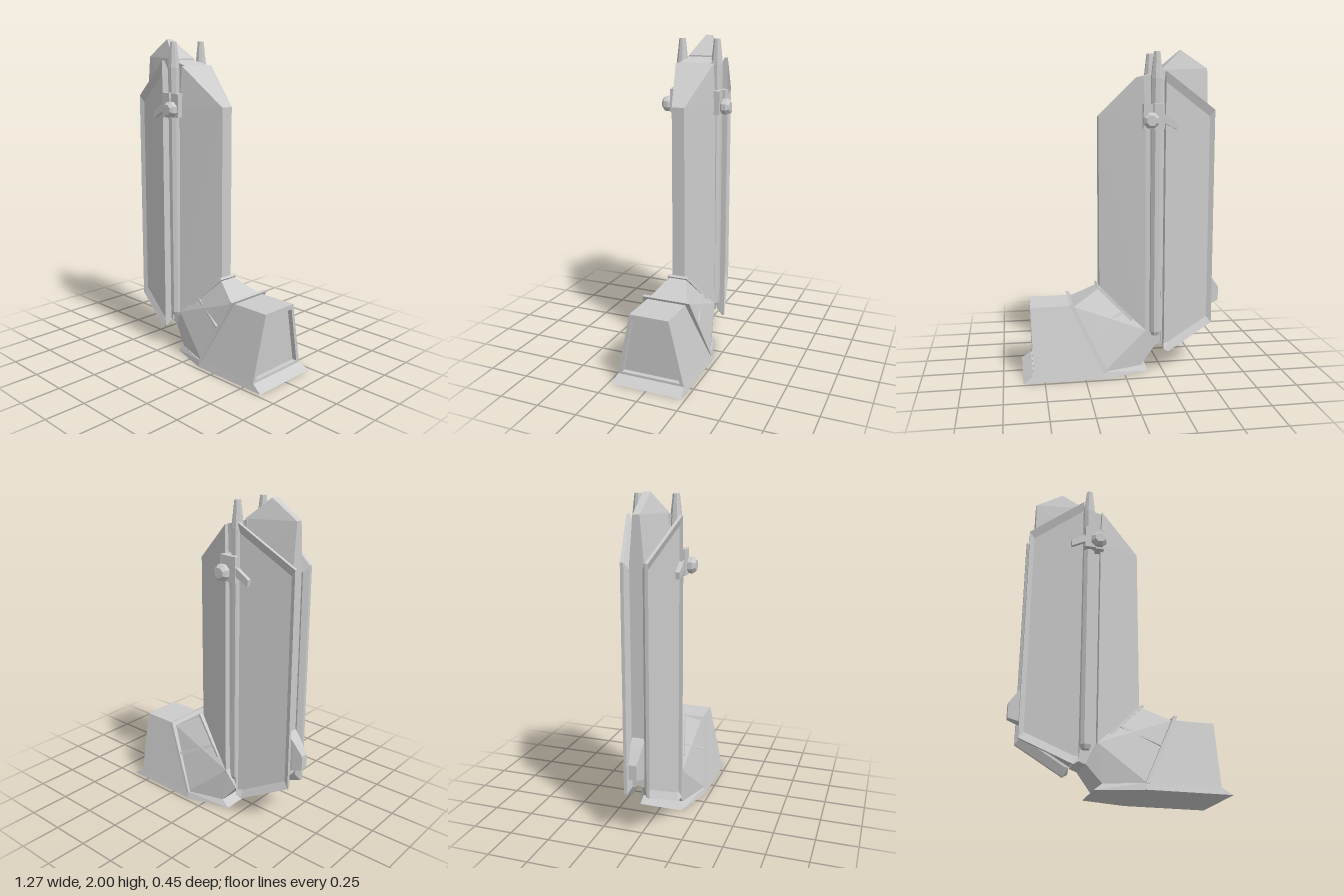
import * as THREE from 'three';
import { ConvexGeometry } from 'three/addons/geometries/ConvexGeometry.js';

const material = new THREE.MeshStandardMaterial({ color: 0xcccccc, flatShading: true });

export function createModel() {
  const model = new THREE.Group();

  function add(name, geometry, x = 0, y = 0, z = 0) {
    const mesh = new THREE.Mesh(geometry, material);
    mesh.name = name;
    mesh.position.set(x, y, z);
    model.add(mesh);
    return mesh;
  }

  // Convex block symmetric in z, from points [x, y, halfWidth]
  function block(name, points) {
    const v = points.flatMap(([x, y, w]) =>
      [new THREE.Vector3(x, y, w), new THREE.Vector3(x, y, -w)]);
    return add(name, new ConvexGeometry(v));
  }

  // Skin through rings of [x, y, z] points, closed at both ends
  function loft(name, rings) {
    const pos = [];
    const tri = (a, b, c) => pos.push(...a, ...b, ...c);
    const n = rings[0].length;
    for (let r = 0; r < rings.length - 1; r++) {
      for (let i = 0; i < n; i++) {
        const j = (i + 1) % n, a = rings[r], b = rings[r + 1];
        tri(a[i], a[j], b[j]);
        tri(a[i], b[j], b[i]);
      }
    }
    const first = rings[0], last = rings[rings.length - 1];
    for (let i = 1; i < n - 1; i++) {
      tri(first[0], first[i + 1], first[i]);
      tri(last[0], last[i], last[i + 1]);
    }
    const g = new THREE.BufferGeometry();
    g.setAttribute('position', new THREE.Float32BufferAttribute(pos, 3));
    g.computeVertexNormals();
    return add(name, g);
  }

  const lathe = (pts) => new THREE.LatheGeometry(
    pts.map(([r, y]) => new THREE.Vector2(r, y)), 8, Math.PI / 8);

  // Upright body: front wedge, middle spine and rear fin
  block('frontWedge', [
    [-0.12, 1.84, 0.125], [0.14, 1.6, 0.04], [0.14, 0.48, 0.04],
    [-0.14, 0.25, 0.14], [-0.13, 1.6, 0.135],
  ]);
  block('middleSpine', [
    [-0.25, 1.875, 0.09], [-0.12, 1.84, 0.1],
    [-0.25, 0.17, 0.1], [-0.2, 0.15, 0.1], [-0.12, 0.15, 0.1],
  ]);
  block('rearFin', [
    [-0.54, 1.89, 0.02], [-0.37, 2.0, 0.022], [-0.235, 1.88, 0.085],
    [-0.54, 1.6, 0.045], [-0.24, 1.6, 0.115],
    [-0.54, 0.33, 0.045], [-0.24, 0.18, 0.115],
  ]);
  block('rearKnob', [
    [-0.53, 0.64, 0.042], [-0.58, 0.585, 0.036], [-0.64, 0.5, 0.024],
    [-0.64, 0.41, 0.024], [-0.58, 0.39, 0.036], [-0.53, 0.38, 0.042],
  ]);

  // Boot: sole, ankle, raised ribs
  block('sole', [
    [0.63, 0, 0.225], [0.12, 0, 0.225], [-0.16, 0, 0.14],
    [0.57, 0.04, 0.215], [0.12, 0.04, 0.215], [-0.11, 0.04, 0.135],
  ]);
  block('ankle', [
    [0.13, 0.04, 0.21], [0.31, 0.44, 0.13], [0.15, 0.53, 0.055],
    [-0.14, 0.27, 0.14], [-0.2, 0.15, 0.11], [-0.11, 0.04, 0.135],
  ]);
  block('toeRib', [
    [0.115, 0.04, 0.222], [0.135, 0.035, 0.222],
    [0.32, 0.465, 0.155], [0.34, 0.46, 0.155],
  ]);
  block('shinRib', [
    [-0.06, 0.34, 0.125], [-0.05, 0.328, 0.125],
    [0.15, 0.55, 0.065], [0.163, 0.54, 0.065],
  ]);
  block('ankleRib', [
    [0, 0.395, 0.11], [0, 0.38, 0.114], [0.235, 0.28, 0.178], [0.228, 0.265, 0.18],
  ]);

  // Toe with a recessed front panel
  const toeRing = (x0, y0, w0, x1, y1, w1) =>
    [[x0, y0, -w0], [x1, y1, -w1], [x1, y1, w1], [x0, y0, w0]];
  loft('toe', [
    toeRing(0.13, 0.04, 0.215, 0.325, 0.445, 0.125),
    toeRing(0.565, 0.04, 0.215, 0.578, 0.445, 0.125),
    toeRing(0.565, 0.055, 0.187, 0.577, 0.415, 0.112),
    toeRing(0.535, 0.055, 0.187, 0.547, 0.415, 0.112),
  ]);

  // Mirrored parts
  const rim = [[-0.58, 0.28], [-0.28, 0.13], [-0.25, 0.15], [-0.25, 1.87], [-0.58, 1.64]];
  const field = [[-0.55, 0.32], [-0.28, 0.185], [-0.25, 0.18], [-0.25, 1.81], [-0.55, 1.6]];
  for (const s of [1, -1]) {
    const side = s > 0 ? 'left' : 'right';

    // Rear side panel with a flared rim
    const ring = (outline, offset) => {
      const pts = outline.map(([x, y]) => [x, y, s * (0.06 + (x + 0.58) * 0.27 + offset)]);
      return s > 0 ? pts : pts.reverse();
    };
    loft(side + 'Panel', [ring(field, -0.03), ring(rim, 0), ring(rim, 0.02), ring(field, 0)]);

    // Tall rod with tapered ends
    add(side + 'Rod', lathe([
      [0, 0.23], [0.024, 0.23], [0.035, 0.255], [0.037, 1.83], [0.02, 1.985], [0, 1.985],
    ]), -0.204, 0, s * 0.115);

    // Clamp, lever and knob
    add(side + 'Clamp', new THREE.BoxGeometry(0.065, 0.15, 0.09), -0.208, 1.603, s * 0.135);
    add(side + 'ClampPlate', new THREE.BoxGeometry(0.06, 0.145, 0.07), -0.145, 1.603, s * 0.13);
    const lever = [[-0.33, 1.56], [-0.23, 1.625], [-0.23, 1.57], [-0.325, 1.52]];
    add(side + 'Lever', new ConvexGeometry(lever.flatMap(([x, y]) =>
      [0.15, 0.175].map((z) => new THREE.Vector3(x, y, s * z)))));
    const knob = add(side + 'Knob', lathe([
      [0, -0.06], [0.025, -0.06], [0.025, -0.028], [0.042, -0.028], [0.05, -0.018],
      [0.05, 0.008], [0.032, 0.027], [0, 0.027],
    ]), -0.155, 1.58, s * 0.197);
    knob.rotation.x = s * Math.PI / 2;
  }
  return model;
}
